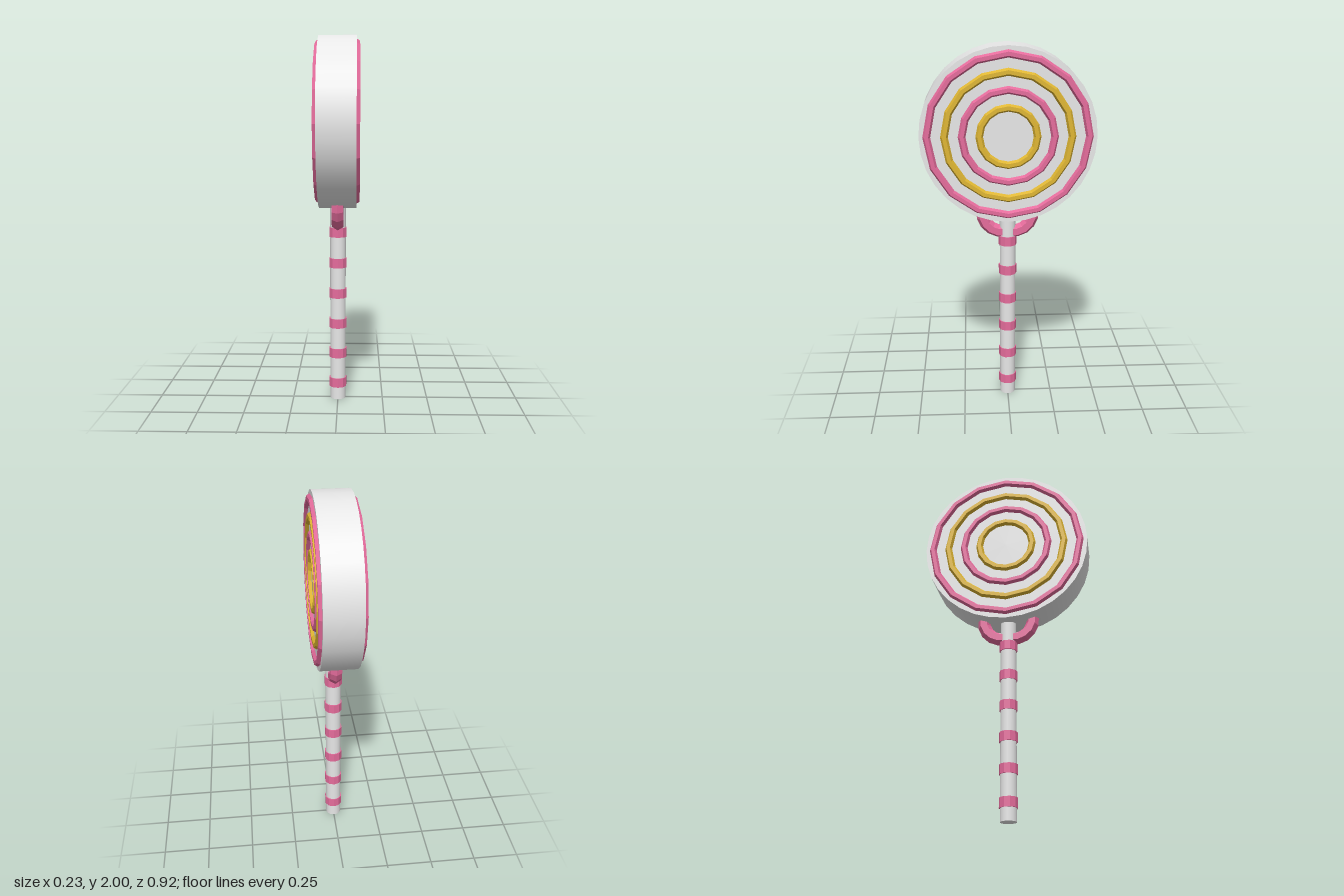
import * as THREE from 'three';

export function createModel() {
  const group = new THREE.Group();
  const material = (name, color, flatShading = false) => {
    const m = new THREE.MeshStandardMaterial({ color, flatShading });
    m.name = name;
    return m;
  };
  const white = material('white', 0xf2f2f2);
  const pink = material('pink', 0xe56c9c, true);
  const yellow = material('yellow', 0xdfb633, true);

  const add = (name, geometry, mat, x = 0, y = 0, z = 0) => {
    const mesh = new THREE.Mesh(geometry, mat);
    mesh.name = name;
    mesh.position.set(x, y, z);
    group.add(mesh);
    return mesh;
  };

  // Candy disc, its axis along x
  const centreY = 1.54;
  add('candyDisc', new THREE.CylinderGeometry(0.46, 0.46, 0.2, 32).rotateZ(Math.PI / 2), white, 0, centreY);

  // Concentric rings on both faces, alternating colours
  [0.42, 0.33, 0.24, 0.15].forEach((radius, i) => {
    const ring = new THREE.TorusGeometry(radius, 0.02, 6, 16).rotateY(Math.PI / 2);
    for (const side of [-1, 1]) add('candyRing', ring, i % 2 ? yellow : pink, side * 0.1, centreY);
  });

  // Stick, ending inside the disc
  add('stick', new THREE.CylinderGeometry(0.043, 0.043, 1.15, 16), white, 0, 0.575);

  // Stripe bands around the stick
  const band = new THREE.CylinderGeometry(0.049, 0.049, 0.052, 10);
  for (let i = 0; i < 6; i++) add('stickBand', band, pink, 0, 0.095 + i * 0.17);

  // Ribbon loops curving from the stick up into the disc
  const arc = THREE.MathUtils.degToRad(130);
  for (const side of [-1, 1]) {
    const loop = new THREE.TorusGeometry(0.105, 0.036, 6, 6, arc)
      .rotateZ(THREE.MathUtils.degToRad(-100))
      .rotateY(-side * Math.PI / 2);
    add('ribbonLoop', loop, pink, 0, 1.1, side * 0.03);
  }
  return group;
}
